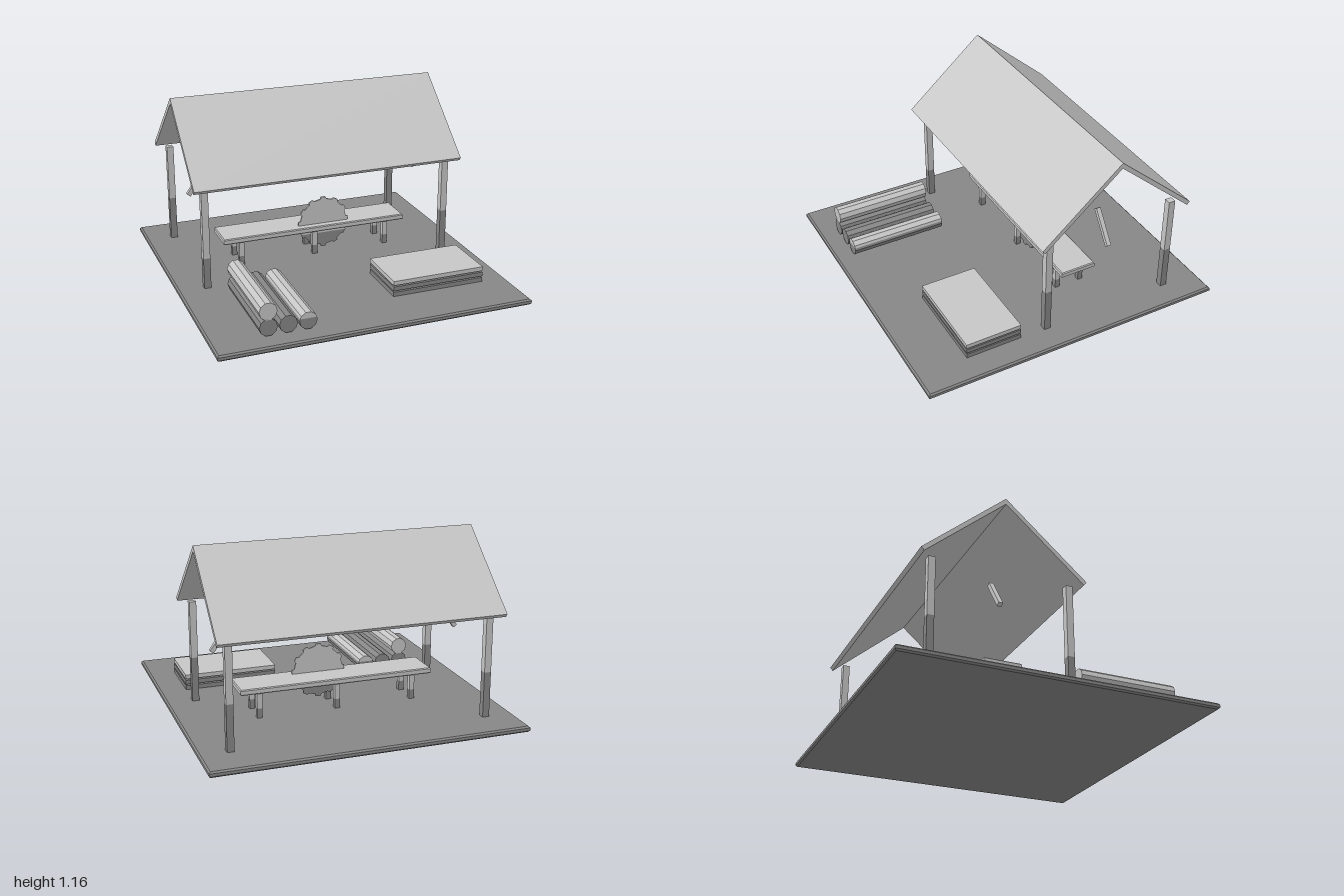
import * as THREE from 'three';

export function createModel() {
  const model = new THREE.Group();
  model.name = 'sawmill';
  const light = new THREE.MeshStandardMaterial({ color: 0xc6c6c6 });
  light.name = 'light grey';
  const dark = new THREE.MeshStandardMaterial({ color: 0x878787 });
  dark.name = 'dark grey';

  function add(name, geometry, material, x = 0, y = 0, z = 0) {
    const mesh = new THREE.Mesh(geometry, material);
    mesh.name = name;
    mesh.position.set(x, y, z);
    model.add(mesh);
    return mesh;
  }

  // Flat slab with a chamfer all round
  function slab(w, h, d, c) {
    const a = w / 2 - c, b = d / 2 - c;
    const shape = new THREE.Shape([[-a, -b], [a, -b], [a, b], [-a, b]].map((p) => new THREE.Vector2(...p)));
    const geometry = new THREE.ExtrudeGeometry(shape, {
      depth: h - 2 * c, bevelThickness: c, bevelSize: c, bevelSegments: 1,
    });
    return geometry.translate(0, 0, c - h / 2).rotateX(-Math.PI / 2);
  }

  // Upright square post, dark up to the height cut
  function post(name, x, z, width, y0, cut, y1) {
    add(name + 'Foot', new THREE.BoxGeometry(width, cut - y0, width), dark, x, (y0 + cut) / 2, z);
    add(name, new THREE.BoxGeometry(width, y1 - cut, width), light, x, (y1 + cut) / 2, z);
  }

  // Outline extruded along z
  function prism(points, z0, z1) {
    const geometry = new THREE.ExtrudeGeometry(new THREE.Shape(points), { depth: z1 - z0, bevelEnabled: false });
    return geometry.translate(0, 0, z0);
  }

  // Outline split at the height cut into a light upper and a dark lower half
  function splitPrism(name, points, cut, z0, z1) {
    const upper = points.filter((p) => p.y > cut);
    const lower = points.filter((p) => p.y <= cut);
    const crossings = [];
    points.forEach((p, i) => {
      const q = points[(i + 1) % points.length];
      if ((p.y > cut) !== (q.y > cut)) {
        crossings.push(new THREE.Vector2().lerpVectors(p, q, (cut - p.y) / (q.y - p.y)));
      }
    });
    const centre = new THREE.Vector2();
    points.forEach((p) => centre.addScaledVector(p, 1 / points.length));
    const around = (list) => [...list, ...crossings].sort((p, q) =>
      Math.atan2(p.y - centre.y, p.x - centre.x) - Math.atan2(q.y - centre.y, q.x - centre.x));
    // start the angular order at the right-hand crossing for both halves
    add(name + 'Top', prism(around(upper), z0, z1), light);
    add(name + 'Bottom', prism(around(lower), z0, z1), dark);
  }

  // Ground plate
  add('ground', slab(2, 0.038, 2, 0.01), dark, 0, 0.019, 0);

  // Roof posts
  for (const x of [-0.815, 0.815]) {
    for (const z of [0.117, -0.75]) {
      post('roofPost', x, z, 0.044, 0.036, x < 0 && z > 0 ? 0.24 : 0.33, 0.7);
    }
  }

  // Two roof slopes meeting at the ridge
  for (const side of [1, -1]) {
    const slope = add('roofSlope', new THREE.BoxGeometry(1.79, 0.028, 0.686), light, 0, 0.925, -0.317 + side * 0.251);
    slope.rotation.x = side * 0.711;
  }

  // Slanting braces below the ridge
  for (const side of [1, -1]) {
    const brace = add('brace', new THREE.BoxGeometry(0.24, 0.028, 0.028), light, side * 0.735, 0.598, -0.317);
    brace.rotation.z = -side * 0.957;
  }

  // Saw bench
  add('benchTop', slab(1.27, 0.037, 0.24, 0.006), light, 0, 0.22, -0.223);
  for (const x of [-0.51, 0, 0.51]) {
    for (const z of [-0.14, -0.31]) post('benchLeg', x, z, 0.034, 0.036, 0.1, 0.21);
  }

  // Toothed saw blade
  const blade = [];
  for (let i = 0; i < 12; i++) {
    for (const [offset, r] of [[-0.13, 0.163], [-0.09, 0.177], [0.09, 0.177], [0.13, 0.163]]) {
      const a = (i / 12) * Math.PI * 2 + offset;
      blade.push(new THREE.Vector2(0.072 + r * Math.cos(a), 0.247 + r * Math.sin(a)));
    }
  }
  splitPrism('sawBlade', blade, 0.17, -0.166, -0.154);

  // Stacked logs
  const logOutline = (x, y) => Array.from({ length: 10 }, (_, i) => {
    const a = (i / 10) * Math.PI * 2;
    return new THREE.Vector2(x + 0.056 * Math.cos(a), y + 0.056 * Math.sin(a));
  });
  add('topLog', prism(logOutline(-0.663, 0.2), 0.247, 0.885), light);
  add('lowerLog', prism(logOutline(-0.663, 0.1), 0.247, 0.885), dark);
  add('lowerLog', prism(logOutline(-0.541, 0.1), 0.247, 0.885), dark);
  splitPrism('outerLog', logOutline(-0.419, 0.1), 0.115, 0.247, 0.885);

  // Stacked planks
  for (let i = 0; i < 3; i++) {
    add('plank', new THREE.BoxGeometry(0.615, 0.028, 0.37), i === 2 ? light : dark, 0.525, 0.056 + i * 0.037, 0.487);
  }
  return model;
}
